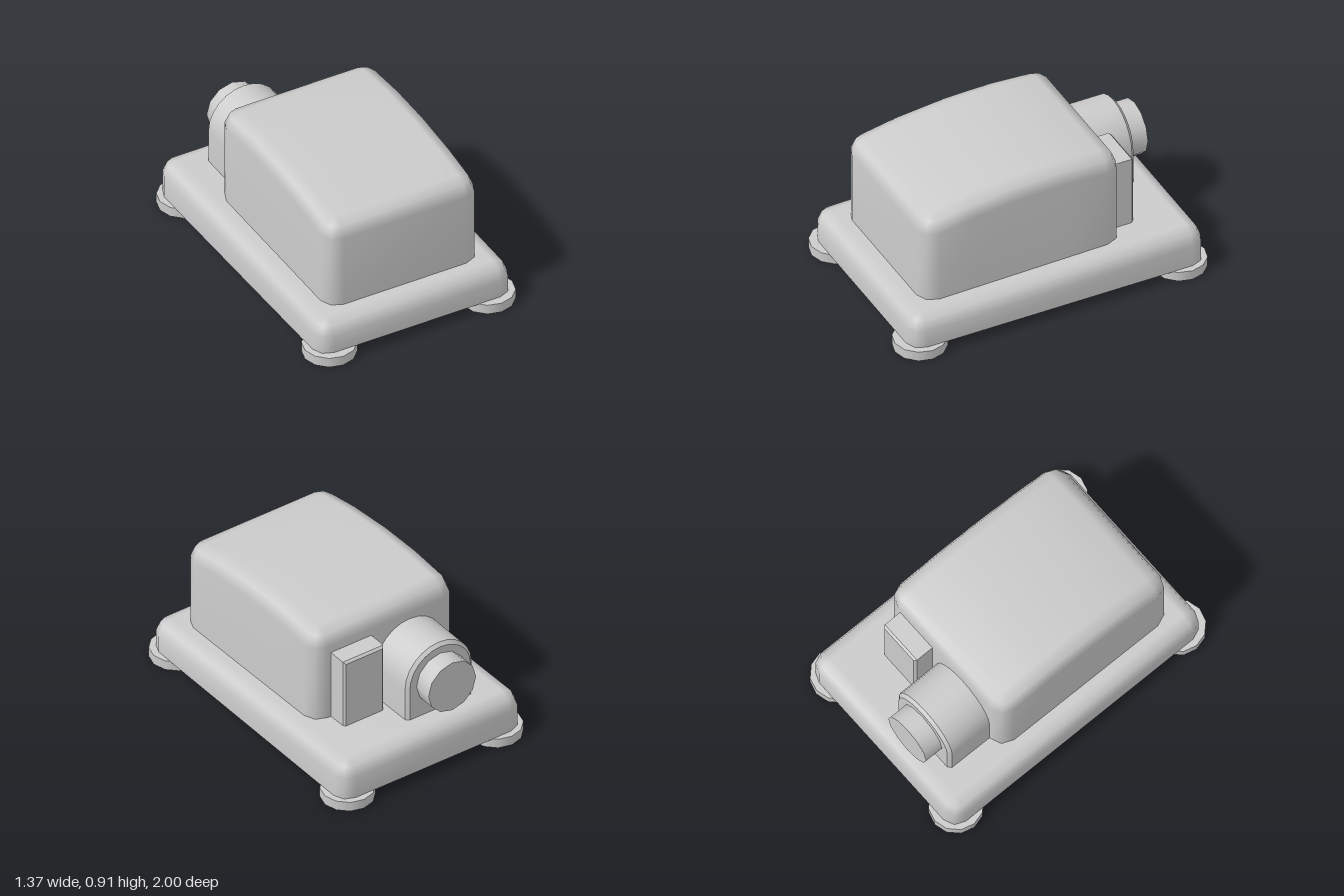
import * as THREE from 'three';
import { mergeVertices, toCreasedNormals } from 'three/addons/utils/BufferGeometryUtils.js';

const grey = new THREE.MeshStandardMaterial({ color: 0xcccccc });
const greyDouble = new THREE.MeshStandardMaterial({ color: 0xcccccc, side: THREE.DoubleSide });
const S = Math.SQRT1_2;

function addMesh(group, name, geometry, x = 0, y = 0, z = 0, material = grey) {
  const mesh = new THREE.Mesh(geometry, material);
  mesh.name = name;
  mesh.position.set(x, y, z);
  group.add(mesh);
  return mesh;
}

// Height along a polyline of [z, y] points, z ascending
function heightAt(line, z) {
  for (let i = 1; i < line.length; i++) {
    const [z0, y0] = line[i - 1], [z1, y1] = line[i];
    if (z <= z1 || i === line.length - 1) return y0 + (y1 - y0) * (z - z0) / (z1 - z0);
  }
}

// Box with rounded corners and top edges whose top follows a side profile.
// a = half width of the flat inner top, r = rounding radius
function roundedShell(a, r, top, bottom) {
  const zs = top.map(p => p[0]);
  const z0 = zs[0], z1 = zs[zs.length - 1];
  const ring = [
    ...zs.map(z => [a, z, 1, 0]),
    [a, z1, S, S], [a, z1, 0, 1], [-a, z1, 0, 1], [-a, z1, -S, S],
    ...[...zs].reverse().map(z => [-a, z, -1, 0]),
    [-a, z0, -S, -S], [-a, z0, 0, -1], [a, z0, 0, -1], [a, z0, S, -S],
  ];
  const n = ring.length, m = zs.length, pos = [], idx = [];
  for (const [x, z, dx, dz] of ring) pos.push(x + dx * r, bottom(z + dz * r), z + dz * r);
  for (let k = 0; k <= 2; k++) {
    const t = k * Math.PI / 4, f = r * Math.cos(t), drop = r * (1 - Math.sin(t));
    for (const [x, z, dx, dz] of ring) pos.push(x + dx * f, heightAt(top, z) - drop, z + dz * f);
  }
  for (let k = 0; k < 3; k++) {
    for (let i = 0; i < n; i++) {
      const j = (i + 1) % n, p = k * n + i, q = k * n + j;
      idx.push(p, p + n, q, q, p + n, q + n);
    }
  }
  // top surface in strips across the width
  for (let i = 0; i < m - 1; i++) {
    const p = 3 * n + i, q = p + 1, l = 3 * n + m + 4 + (m - 1 - i), k = l - 1;
    idx.push(p, l, q, q, l, k);
  }
  let geometry = new THREE.BufferGeometry();
  geometry.setAttribute('position', new THREE.Float32BufferAttribute(pos, 3));
  geometry.setIndex(idx);
  geometry = mergeVertices(geometry, 1e-4);
  geometry.computeVertexNormals();
  return { geometry, outline: ring.map(([x, z, dx, dz]) => new THREE.Vector2(x + dx * r, z + dz * r)) };
}

// Extrusion towards the back with a small chamfer
function chamferedBlock(shape, zBack, zFront, bevel) {
  const geometry = new THREE.ExtrudeGeometry(shape, {
    depth: zFront - zBack - 2 * bevel, curveSegments: 6, bevelSegments: 1,
    bevelThickness: bevel, bevelSize: bevel, bevelOffset: -bevel,
  });
  geometry.translate(0, 0, zBack + bevel);
  return toCreasedNormals(geometry, 0.7);
}

export function createModel() {
  const group = new THREE.Group();

  // Base plate, slightly higher at the back
  const baseTop = [[-0.865, 0.296], [0.85, 0.262]];
  const base = roundedShell(0.55, 0.092, baseTop, () => 0.06);
  addMesh(group, 'base', base.geometry);
  const underside = new THREE.ShapeGeometry(new THREE.Shape(base.outline));
  underside.rotateX(Math.PI / 2);
  addMesh(group, 'baseUnderside', underside, 0, 0.06, 0);

  // Arched housing standing on the base
  const housingTop = [[-0.385, 0.89], [-0.12, 0.907], [0.17, 0.9], [0.48, 0.868], [0.7, 0.827]];
  const housing = roundedShell(0.405, 0.1, housingTop, z => heightAt(baseTop, z));
  addMesh(group, 'housing', housing.geometry);

  // Arched port block at the back
  const arch = new THREE.Shape();
  arch.moveTo(-0.235, -0.25);
  arch.lineTo(0.235, -0.25);
  arch.lineTo(0.235, 0);
  arch.absarc(0, 0, 0.235, 0, Math.PI, false);
  arch.closePath();
  addMesh(group, 'portBlock', chamferedBlock(arch, -0.787, -0.45, 0.02), -0.17, 0.51, 0);

  // Round port
  const port = toCreasedNormals(new THREE.CylinderGeometry(0.168, 0.168, 0.155, 12), 0.7);
  port.rotateX(Math.PI / 2);
  addMesh(group, 'port', port, -0.17, 0.512, -0.8275);

  // Small box beside the port
  const side = new THREE.Shape();
  side.moveTo(-0.143, 0.27);
  side.lineTo(0.143, 0.27);
  side.lineTo(0.143, 0.743);
  side.lineTo(-0.143, 0.743);
  side.closePath();
  addMesh(group, 'sideBox', chamferedBlock(side, -0.615, -0.45, 0.014), 0.243, 0, 0);

  // Four hollow feet, open below
  const r = 0.161, h = 0.062;
  for (const sx of [-1, 1]) {
    for (const sz of [-1, 1]) {
      const foot = new THREE.Group();
      foot.name = (sz > 0 ? 'front' : 'back') + (sx > 0 ? 'Left' : 'Right') + 'Foot';
      foot.position.set(sx * 0.524, 0, sz * 0.839);
      addMesh(foot, 'footWall', new THREE.CylinderGeometry(r, r, h, 12, 1, true), 0, h / 2, 0, greyDouble);
      const cap = new THREE.CircleGeometry(r, 12);
      cap.rotateX(-Math.PI / 2);
      addMesh(foot, 'footTop', cap, 0, h, 0, greyDouble);
      group.add(foot);
    }
  }
  return group;
}
